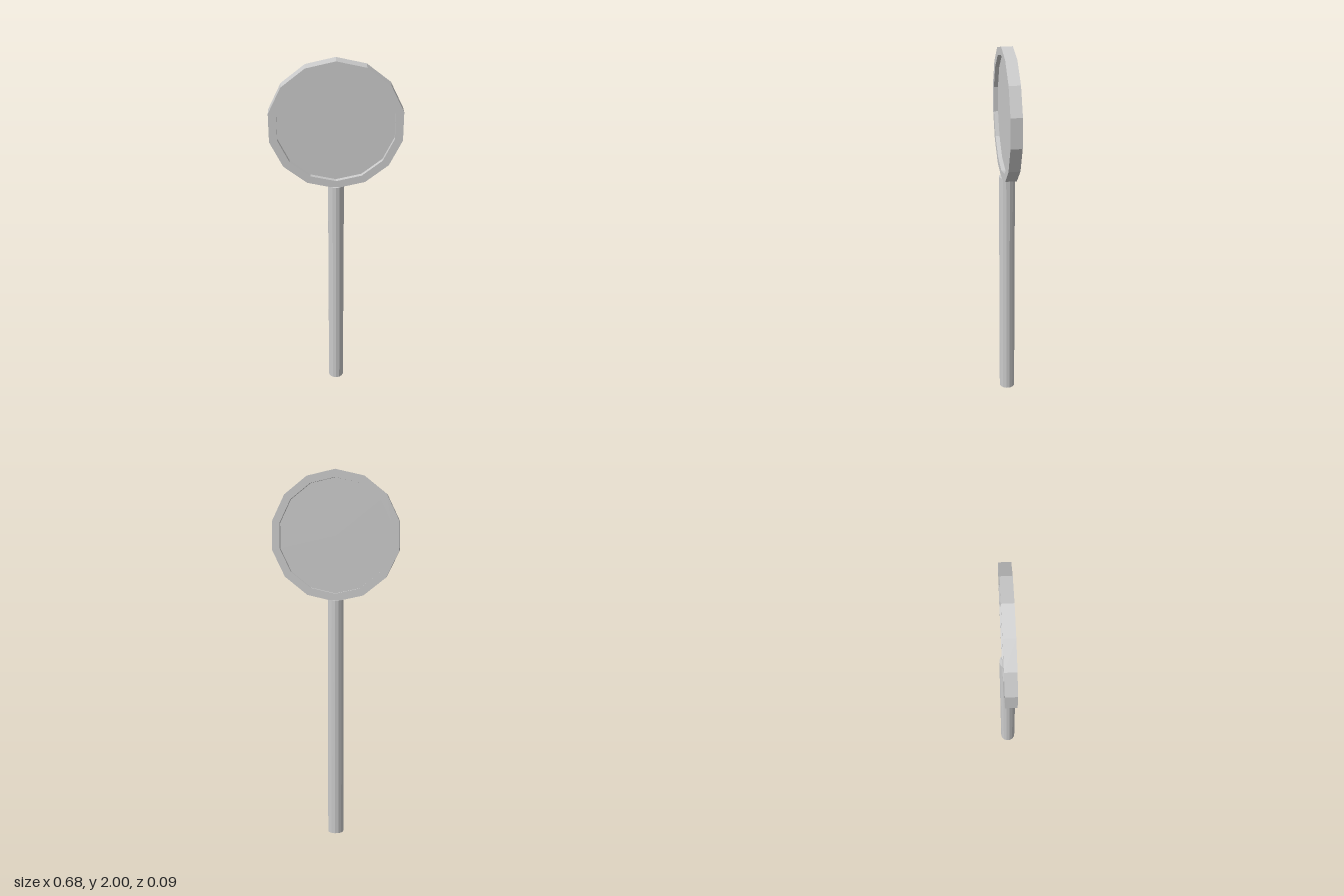
import * as THREE from 'three';

const SIDES = 14;

export function createModel() {
  const group = new THREE.Group();
  const material = new THREE.MeshStandardMaterial({ color: 0xcccccc, flatShading: true });
  const add = (name, geometry, y) => {
    const mesh = new THREE.Mesh(geometry, material);
    mesh.name = name;
    mesh.position.y = y;
    group.add(mesh);
  };

  // Straight faceted pole
  const poleHeight = 1.31;
  add('pole', new THREE.CylinderGeometry(0.043, 0.043, poleHeight, SIDES), poleHeight / 2);

  // Round sign head: raised rim around a recessed panel on both faces
  const outer = 0.349, inner = 0.307, rim = 0.03, panel = 0.008;
  const profile = [
    [0, -panel], [inner, -panel], [inner, -rim], [outer, -rim],
    [outer, rim], [inner, rim], [inner, panel], [0, panel],
  ].map(([r, z]) => new THREE.Vector2(r, z));
  const head = new THREE.LatheGeometry(profile, SIDES).rotateX(-Math.PI / 2);
  add('signHead', head, 2 - outer);

  return group;
}
